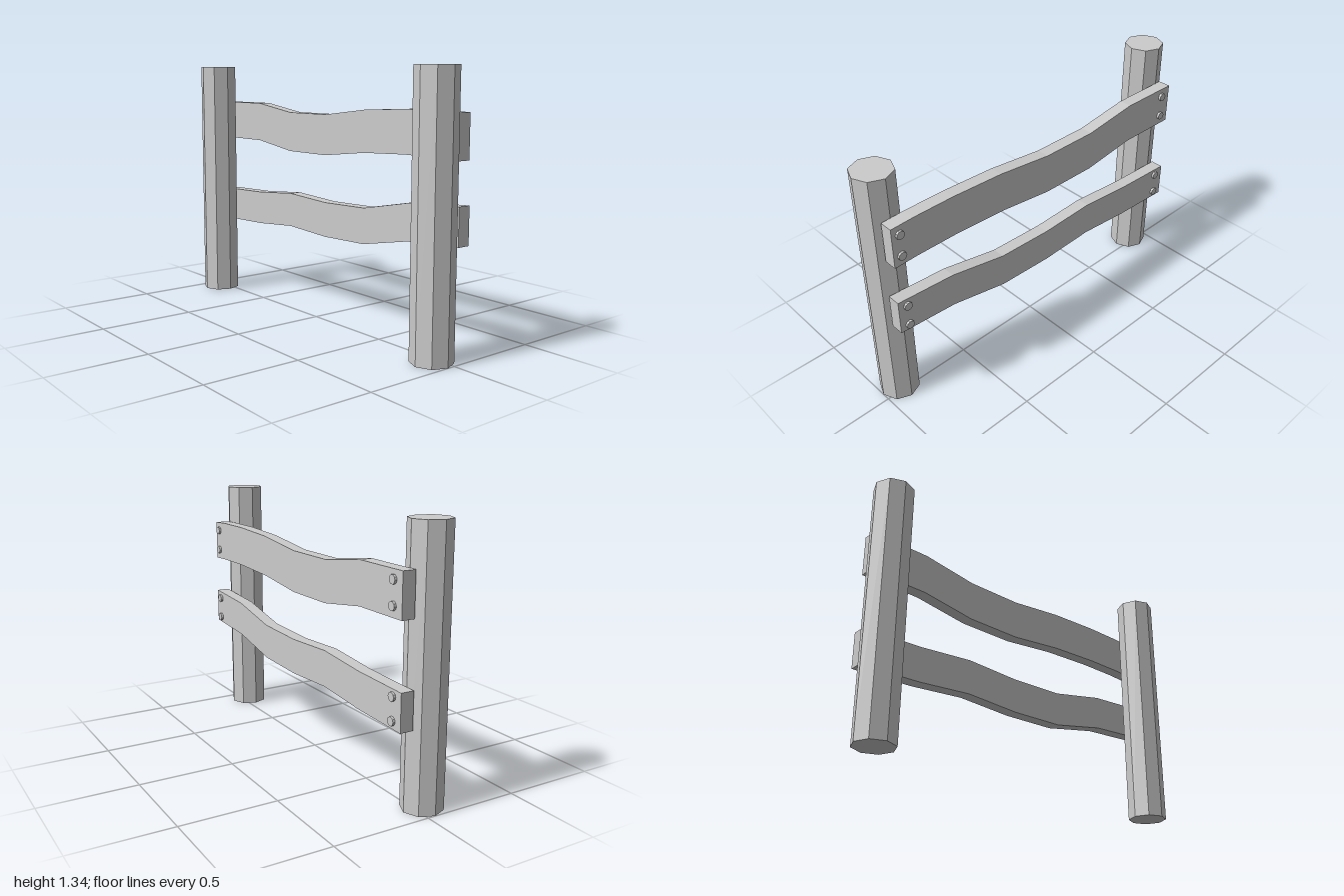
import * as THREE from 'three';

const material = new THREE.MeshStandardMaterial({ color: 0xcccccc, flatShading: true });

function add(parent, geometry, name, x = 0, y = 0, z = 0) {
  const mesh = new THREE.Mesh(geometry, material);
  mesh.name = name;
  mesh.position.set(x, y, z);
  parent.add(mesh);
  return mesh;
}

// Wavy plank: [z, top y, bottom y] stations, extruded along x
function railGeometry(stations) {
  const outline = [
    ...stations.map(([z, top]) => new THREE.Vector2(-z, top)),
    ...[...stations].reverse().map(([z, , bottom]) => new THREE.Vector2(-z, bottom)),
  ];
  const geometry = new THREE.ExtrudeGeometry(new THREE.Shape(outline), { depth: 0.068, bevelEnabled: false });
  return geometry.rotateY(Math.PI / 2);
}

export function createModel() {
  const fence = new THREE.Group();
  fence.name = 'fence';

  // Octagonal posts
  const post = new THREE.CylinderGeometry(0.103, 0.103, 1.34, 8);
  add(fence, post, 'frontPost', -0.04, 0.67, 0.897);
  add(fence, post, 'backPost', -0.04, 0.67, -0.897);

  const rails = [
    {
      name: 'upperRail',
      stations: [[0.945, 1.13, 0.915], [0.82, 1.135, 0.92], [0.6, 1.135, 0.92], [0.31, 1.122, 0.907],
        [0, 1.087, 0.872], [-0.31, 1.087, 0.872], [-0.61, 1.13, 0.915], [-0.935, 1.13, 0.915]],
      bolts: [[0.903, 1.085], [0.903, 0.969], [-0.873, 1.085], [-0.873, 0.969]],
    },
    {
      name: 'lowerRail',
      stations: [[0.953, 0.712, 0.526], [0.63, 0.691, 0.505], [0.31, 0.627, 0.441], [0, 0.618, 0.432],
        [-0.31, 0.633, 0.447], [-0.61, 0.608, 0.422], [-0.945, 0.597, 0.411]],
      bolts: [[0.903, 0.67], [0.903, 0.555], [-0.884, 0.565], [-0.884, 0.451]],
    },
  ];

  // Rails with round bolt heads on the outer face
  const bolt = new THREE.CylinderGeometry(0.022, 0.022, 0.03, 10).rotateZ(-Math.PI / 2);
  for (const { name, stations, bolts } of rails) {
    const group = new THREE.Group();
    group.name = name;
    add(group, railGeometry(stations), name + 'Plank', 0.06);
    bolts.forEach(([z, y], i) => add(group, bolt, name + 'Bolt' + (i + 1), 0.125, y, z));
    fence.add(group);
  }
  return fence;
}
